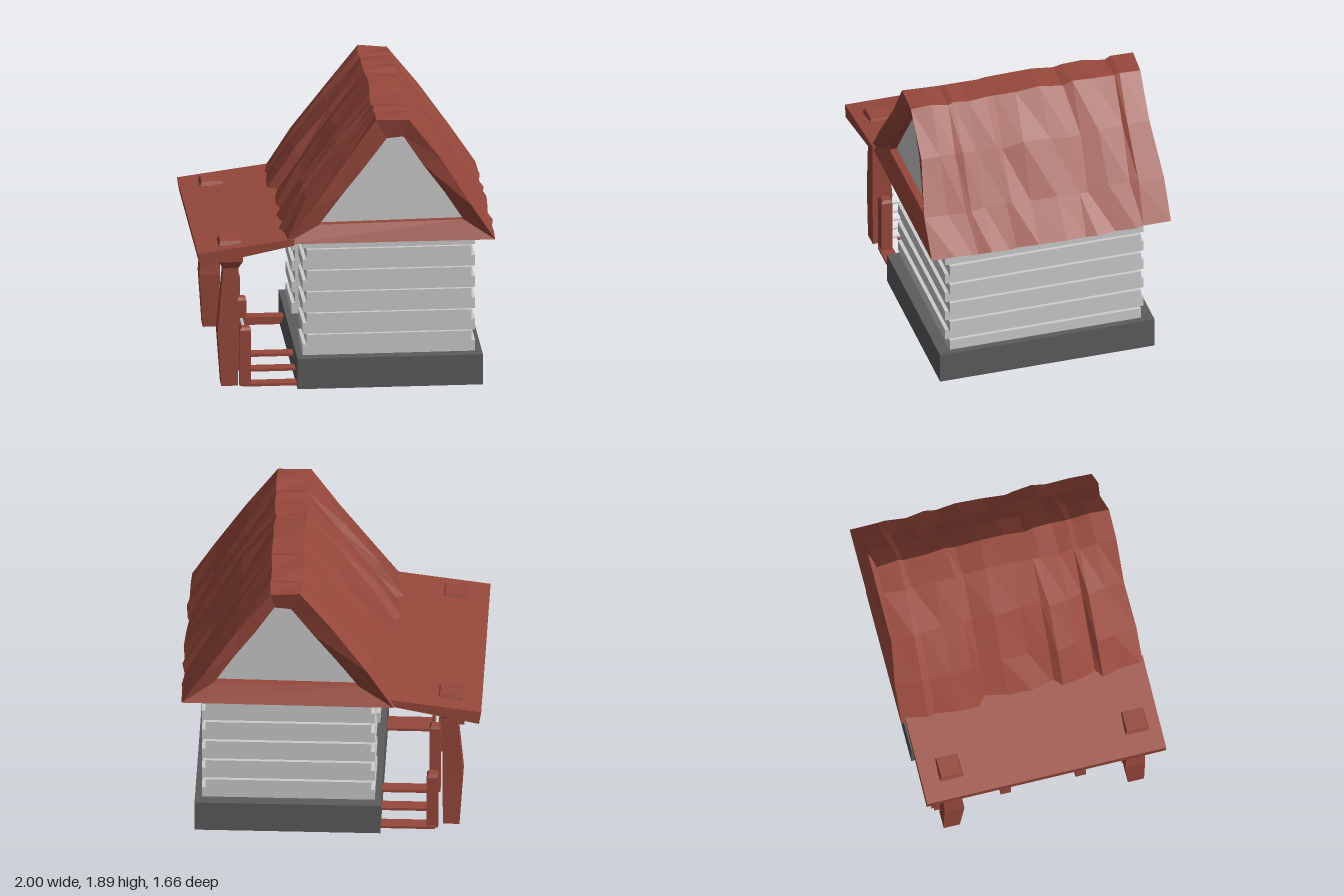
import * as THREE from 'three';

const mat = (color, side = THREE.FrontSide) =>
  new THREE.MeshStandardMaterial({ color, flatShading: true, side });
const red = mat(0x97483b), stone = mat(0x5c5c5c), grey = mat(0xcccccc);
const panelGrey = mat(0xcccccc, THREE.DoubleSide);

// Small seeded noise in -1..1
let seed = 7;
const jitter = () => {
  seed = (seed * 16807) % 2147483647;
  return (seed / 2147483647) * 2 - 1;
};

// Skin closed rings of equal length; optional end caps
function loft(rings, caps) {
  const n = rings[0].length, index = [];
  for (let i = 0; i < rings.length - 1; i++) {
    for (let j = 0; j < n; j++) {
      const k = (j + 1) % n;
      const a = i * n + j, b = i * n + k, c = b + n, d = a + n;
      index.push(a, b, c, a, c, d);
    }
  }
  if (caps) {
    const e = (rings.length - 1) * n;
    for (let j = 1; j < n - 1; j++) index.push(0, j + 1, j, e, e + j, e + j + 1);
  }
  const geo = new THREE.BufferGeometry();
  geo.setAttribute('position', new THREE.Float32BufferAttribute(rings.flat(2), 3));
  geo.setIndex(index);
  geo.computeVertexNormals();
  return geo;
}

export function createModel() {
  seed = 7;
  const root = new THREE.Group();
  const add = (parent, name, geo, material, x = 0, y = 0, z = 0) => {
    const m = new THREE.Mesh(geo, material);
    m.name = name;
    m.position.set(x, y, z);
    parent.add(m);
    return m;
  };
  const group = (name) => {
    const g = new THREE.Group();
    g.name = name;
    root.add(g);
    return g;
  };
  // Box given by its limits
  const box = (parent, name, material, x0, x1, y0, y1, z0, z1) =>
    add(parent, name, new THREE.BoxGeometry(x1 - x0, y1 - y0, z1 - z0), material,
      (x0 + x1) / 2, (y0 + y1) / 2, (z0 + z1) / 2);

  // Foundation
  box(root, 'foundation', stone, -0.33, 0.9, 0, 0.21, -0.74, 0.74);

  // Plank walls: rows alternately run past the corners; doorway on the porch side
  const walls = group('plankWalls');
  const rows = 11, rowH = 0.815 / rows, t = 0.06;
  for (let i = 0; i < rows; i++) {
    const y0 = 0.21 + i * rowH, y1 = y0 + rowH, even = i % 2 === 0;
    const x0 = even ? -0.29 : -0.265, x1 = even ? 0.855 : 0.83;
    const z = even ? 0.66 : 0.685;
    box(walls, 'frontPlank', grey, x0, x1, y0, y1, z - t, z);
    box(walls, 'backPlank', grey, x0, x1, y0, y1, -z, t - z);
    box(walls, 'leftPlank', grey, x1 - t, x1, y0, y1, t - z, z - t);
    if (i < rows - 2) {
      box(walls, 'doorSidePlank', grey, x0, x0 + t, y0, y1, t - z, -0.22);
      box(walls, 'doorSidePlank', grey, x0, x0 + t, y0, y1, 0.32, z - t);
    } else {
      box(walls, 'lintelPlank', grey, x0, x0 + t, y0, y1, t - z, z - t);
    }
  }

  // Main roof: uneven sections along z, with bevelled recessed gable ends
  const roof = group('mainRoof');
  const outer = [[-0.41, 1.03], [-0.23, 1.29], [-0.02, 1.59], [0.19, 1.87],
    [0.4, 1.87], [0.61, 1.59], [0.82, 1.27], [0.985, 1.03]];
  const inner = [[-0.19, 1.15], [-0.04, 1.35], [0.11, 1.54], [0.26, 1.74],
    [0.37, 1.75], [0.5, 1.55], [0.64, 1.36], [0.77, 1.16]];
  const folds = [[0.79, 0], [0.66, 0.03], [0.54, 0.05], [0.5, 0], [0.4, 0.03],
    [0.27, 0.05], [0.22, 0], [0.08, 0.02], [-0.1, 0.03], [-0.25, 0], [-0.31, 0.055],
    [-0.45, 0.04], [-0.6, 0.03], [-0.65, 0.05], [-0.8, 0.01]];
  const foldWeight = [0.9, 1, 0.7, 0.1, 0, 0, 0, 0];
  const gableRing = (z) => inner.map(([x, y]) => [x, y, z]);
  const sections = folds.map(([z, f], i) => {
    const end = i === 0 || i === folds.length - 1;
    return outer.map(([x, y], j) => {
      const out = f * foldWeight[j];
      const eave = j === 0 || j === 7;
      const dy = eave ? 0.008 : 0.015;
      const flare = end && (j < 2 || j > 5) ? 0.03 * Math.sign(z) : 0;
      return [x - out * 0.8 + jitter() * 0.012, y + out * 0.6 + jitter() * dy,
        z + flare + (j > 3 ? jitter() * 0.012 : 0)];
    });
  });
  add(roof, 'roofShell', loft([gableRing(0.71), gableRing(0.765), ...sections,
    gableRing(-0.765), gableRing(-0.71)]), red);
  const gable = new THREE.ShapeGeometry(
    new THREE.Shape(inner.map(([x, y]) => new THREE.Vector2(x, y))));
  for (const s of [1, -1]) add(roof, 'gablePanel', gable, panelGrey, 0, 0, s * 0.715);

  // Porch roof: tapered slab
  const slab = new THREE.Shape([[-0.985, 0.9], [-0.36, 1.03], [-0.36, 1.075], [-1, 0.99]]
    .map(([x, y]) => new THREE.Vector2(x, y)));
  add(root, 'porchRoof',
    new THREE.ExtrudeGeometry(slab, { depth: 1.63, bevelEnabled: false }), red, 0, 0, -0.8);

  // Porch posts: crooked square columns with a capital piercing the roof
  const postProfile = [[0.03, 0, 0.055], [0.4, -0.012, 0.068], [0.85, 0.008, 0.05],
    [0.9, 0.005, 0.08], [1.015, 0.005, 0.08], [1.045, 0.005, 0.068]];
  const square = (x, y, z, h) => [[x + h, y, z + h], [x + h, y, z - h],
    [x - h, y, z - h], [x - h, y, z + h]];
  for (const [x, z, s] of [[-0.78, 0.665, 1], [-0.795, -0.595, -1]]) {
    const rings = postProfile.map(([y, d, h]) => square(x + d, y, z + d * s, h));
    add(root, 'porchPost', loft(rings, true), red);
  }

  // Fence: posts with chamfered tops and round rails
  const fence = group('porchFence');
  for (const [z, h, w] of [[0.65, 0.42, 0.038], [0.32, 0.52, 0.036],
    [-0.19, 0.52, 0.036], [-0.64, 0.42, 0.038]]) {
    const rings = [[0.015, w], [h - 0.02, w], [h, w * 0.7]]
      .map(([y, r]) => square(-0.672, y, z, r));
    add(fence, 'fencePost', loft(rings, true), red);
  }
  for (const [z0, z1] of [[0.32, 0.65], [-0.19, 0.32]]) {
    for (let i = 0; i < 5; i++) {
      const rail = add(fence, 'fenceRail', new THREE.CylinderGeometry(0.011, 0.011, z1 - z0, 6),
        grey, -0.672, 0.1 + i * 0.068, (z0 + z1) / 2);
      rail.rotation.x = Math.PI / 2;
    }
  }

  // Steps rising from both ends of the porch
  const steps = group('porchSteps');
  for (const s of [1, -1]) {
    [0.022, 0.082, 0.142].forEach((y, i) => {
      const z = s * (0.65 - i * 0.13);
      box(steps, 'stepBoard', red, -0.69, -0.32, y - 0.009, y + 0.009, z - 0.045, z + 0.045);
    });
  }
  return root;
}
